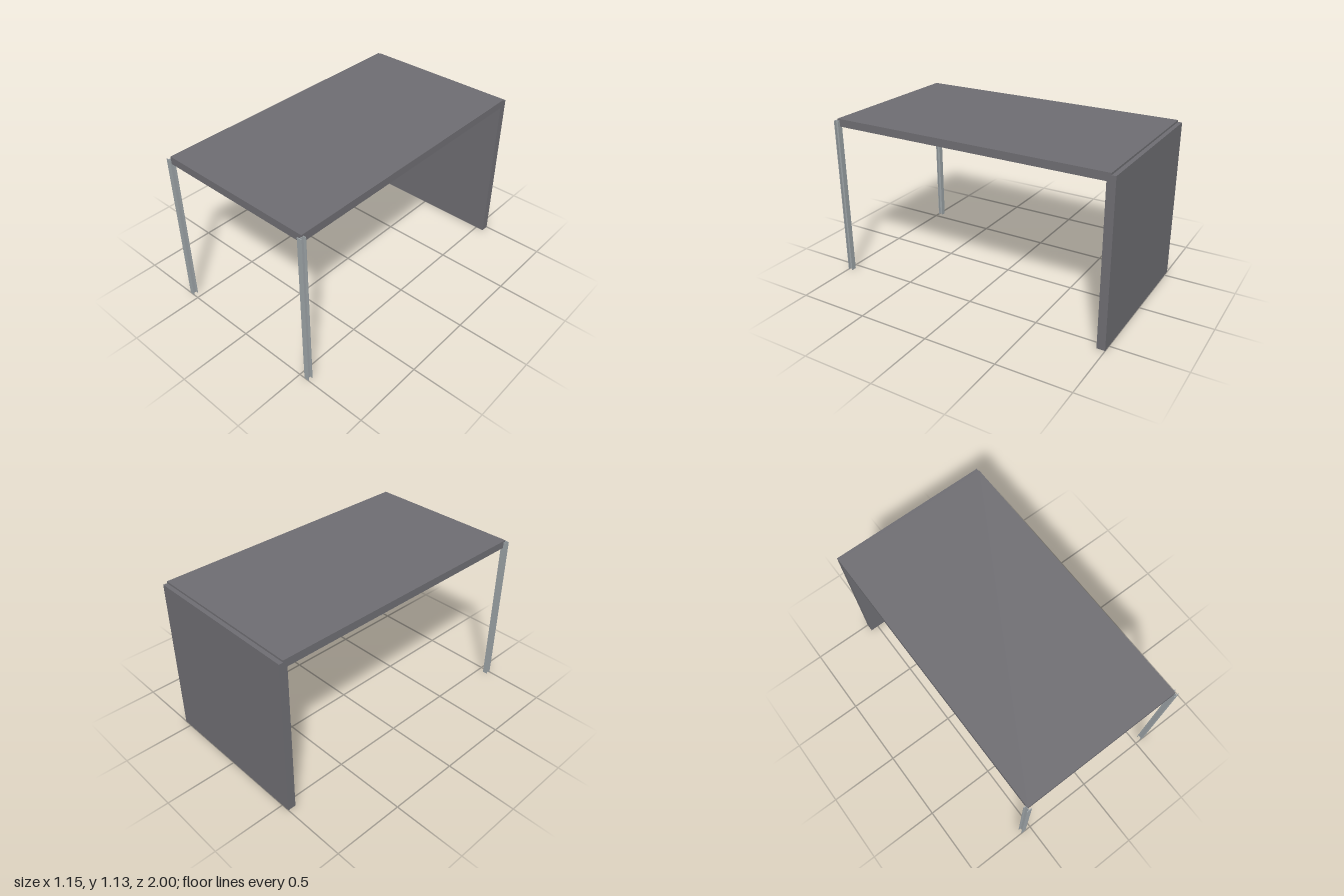
import * as THREE from 'three';

export function createModel() {
  const model = new THREE.Group();
  const dark = new THREE.MeshStandardMaterial({ color: 0x6e6d72 });
  const metal = new THREE.MeshStandardMaterial({ color: 0x9ca3a6 });

  const box = (name, material, w, h, d, x, y, z, parent = model) => {
    const mesh = new THREE.Mesh(new THREE.BoxGeometry(w, h, d), material);
    mesh.name = name;
    mesh.position.set(x, y, z);
    parent.add(mesh);
    return mesh;
  };

  const halfWidth = 0.558, legHeight = 1.118;

  // Table top, ending on the centre lines of the panel and the legs
  box('tableTop', dark, halfWidth * 2, 0.053, 1.955, 0, 1.1045, 0.0055);

  // Full-width panel carrying the back end
  box('backPanel', dark, halfWidth * 2, legHeight, 0.056, 0, legHeight / 2, -0.972);

  // Slim I-section front legs: two flanges joined by a web
  const flange = 0.004, depth = 0.034;
  for (const side of [1, -1]) {
    const leg = new THREE.Group();
    leg.name = side > 0 ? 'leftLeg' : 'rightLeg';
    leg.position.set(side * halfWidth, legHeight / 2, 1 - depth / 2);
    const offset = (depth - flange) / 2;
    box('frontFlange', metal, 0.036, legHeight, flange, 0, 0, offset, leg);
    box('rearFlange', metal, 0.036, legHeight, flange, 0, 0, -offset, leg);
    box('web', metal, 0.004, legHeight, depth - 2 * flange, 0, 0, 0, leg);
    model.add(leg);
  }

  return model;
}
